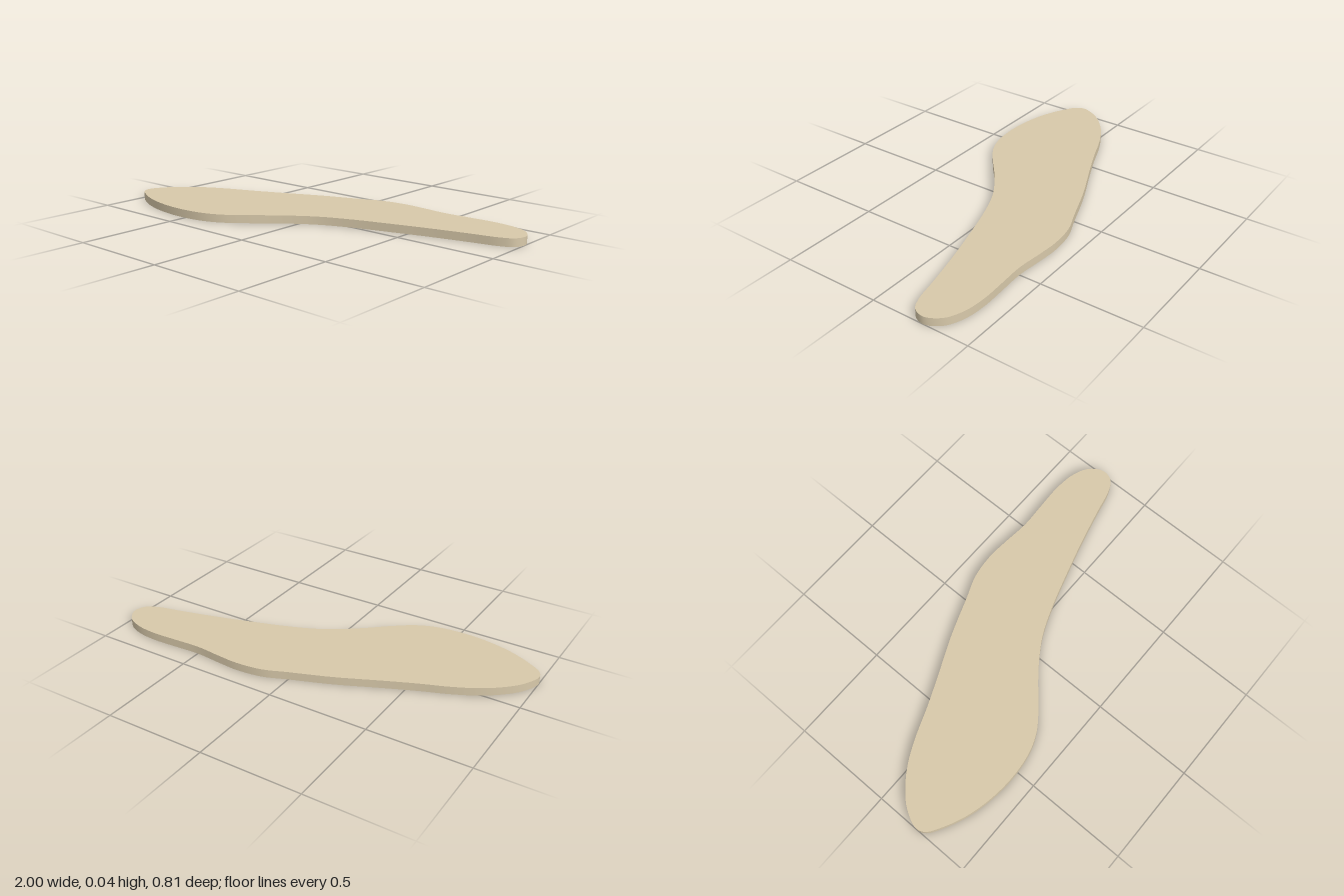
import * as THREE from 'three';
import { toCreasedNormals } from 'three/addons/utils/BufferGeometryUtils.js';

const THICKNESS = 0.04;

// Outline seen from above, as [x, z] points
const OUTLINE = [
  // back edge, left to right
  [-1, 0.22], [-0.96, 0.13], [-0.89, 0.055], [-0.8, -0.01], [-0.69, -0.065], [-0.55, -0.12],
  [-0.4, -0.185], [-0.2, -0.275], [0, -0.35], [0.12, -0.395], [0.25, -0.41],
  [0.36, -0.403], [0.5, -0.39], [0.62, -0.395], [0.77, -0.4], [0.88, -0.385],
  // narrow rounded end
  [0.96, -0.345], [1, -0.275], [0.98, -0.215], [0.92, -0.183],
  // front edge, right to left
  [0.8, -0.155], [0.6, -0.105], [0.4, -0.047], [0.25, 0], [0.1, 0.06], [0, 0.12],
  [-0.1, 0.195], [-0.2, 0.28], [-0.3, 0.352], [-0.4, 0.39], [-0.55, 0.405],
  [-0.7, 0.39], [-0.82, 0.357], [-0.92, 0.31], [-0.985, 0.265],
];

export function createModel() {
  const group = new THREE.Group();
  group.name = 'curvedSlab';

  // Smooth closed outline, extruded and laid flat
  const curve = new THREE.CatmullRomCurve3(
    OUTLINE.map(([x, z]) => new THREE.Vector3(x, -z, 0)), true);
  const points = curve.getPoints(OUTLINE.length * 5).slice(0, -1);
  const shape = new THREE.Shape(points.map((p) => new THREE.Vector2(p.x, p.y)));
  const slab = new THREE.ExtrudeGeometry(shape, { depth: THICKNESS, bevelEnabled: false });
  slab.rotateX(-Math.PI / 2);

  const mesh = new THREE.Mesh(
    toCreasedNormals(slab, Math.PI / 5),
    new THREE.MeshStandardMaterial({ color: 0xd8c9aa }));
  mesh.name = 'slab';
  group.add(mesh);
  return group;
}
